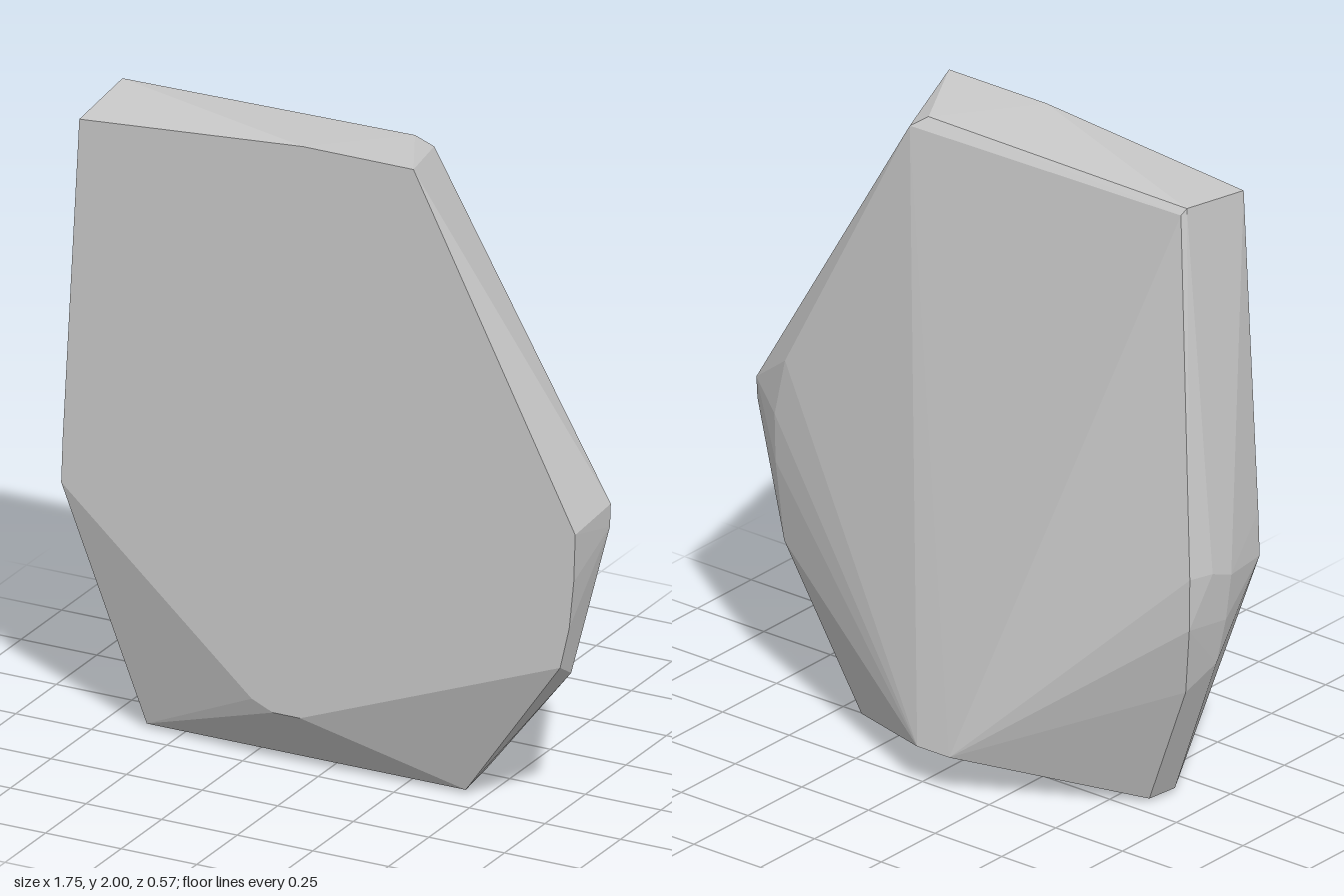
import * as THREE from 'three';
import { ConvexGeometry } from 'three/addons/geometries/ConvexGeometry.js';

const stone = new THREE.MeshStandardMaterial({ color: 0xcacaca, flatShading: true });
stone.name = 'grey stone';

export function createModel() {
  // outline of the flat front, as x, y
  const front = [
    [-0.77, 1.94], [-0.03, 2], [0.335, 2], [0.87, 0.95], [0.865, 0.8], [0.85, 0.65],
    [0.82, 0.52], [-0.04, 0.19], [-0.13, 0.19], [-0.2, 0.22], [-0.83, 0.78], [-0.825, 0.92],
  ].map(([x, y]) => [x, y, 0.287]);

  // chipped rim along the top
  const top = [[-0.765, 1.975, 0.03], [-0.755, 1.955, 0.015], [0.2, 1.985, 0.025], [0.25, 1.95, 0]];

  // worn right and left flanks
  const right = [
    [0.85, 0.95, 0.03], [0.85, 0.88, 0.035], [0.81, 0.47, 0.2], [0.52, 1.35, -0.032],
    [0.68, 1.08, -0.047], [0.715, 0.9, -0.052], [0.71, 0.75, -0.054], [0.68, 0.5, -0.05],
  ];
  const left = [
    [-0.875, 0.8, 0.1], [-0.87, 0.83, 0.02], [-0.855, 0.65, 0.1], [-0.82, 0.5, 0.1],
    [-0.845, 0.83, -0.055], [-0.835, 0.66, -0.045], [-0.785, 0.43, 0],
  ];

  // short ridge at the back and the narrow foot
  const back = [[-0.13, 0.13, -0.287], [-0.01, 0.13, -0.287]];
  const foot = [
    [-0.615, 0.012, 0.16], [-0.6, 0.01, 0.06], [0.44, 0.012, 0.16],
    [0.415, 0.01, -0.02], [-0.3, 0, 0.1], [0.2, 0, 0.1],
  ];

  const points = [...front, ...top, ...right, ...left, ...back, ...foot]
    .map((p) => new THREE.Vector3(...p));
  const rock = new THREE.Mesh(new ConvexGeometry(points), stone);
  rock.name = 'rock';

  const group = new THREE.Group();
  group.name = 'rock slab';
  group.add(rock);
  return group;
}
